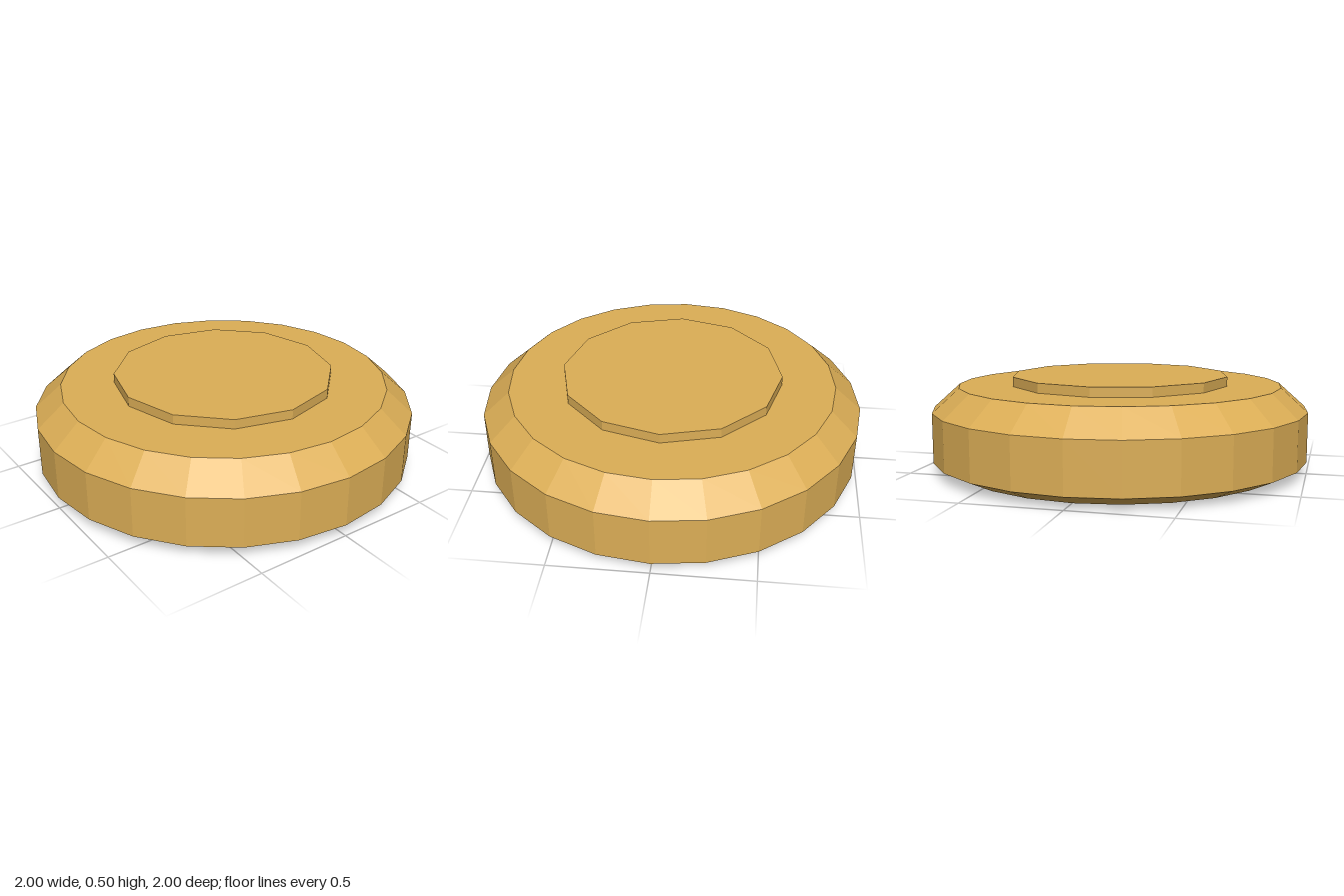
import * as THREE from 'three';

export function createModel() {
  const group = new THREE.Group();
  group.name = 'roundCushion';

  const gold = new THREE.MeshStandardMaterial({ color: 0xdcae56, flatShading: true });
  gold.name = 'warm gold';

  // Closed turned solid from a bottom-to-top profile of [radius, height]
  const turned = (name, profile, sides) => {
    const points = profile.map(([r, y]) => new THREE.Vector2(r, y));
    const mesh = new THREE.Mesh(new THREE.LatheGeometry(points, sides), gold);
    mesh.name = name;
    group.add(mesh);
  };

  // Wide body with a small lower bevel and a larger upper bevel
  turned('body', [[0, 0], [0.87, 0], [1, 0.06], [1, 0.32], [0.86, 0.445], [0, 0.445]], 24);

  // Low raised disc on top
  turned('topDisc', [[0, 0.43], [0.58, 0.43], [0.58, 0.495], [0, 0.495]], 12);

  return group;
}
